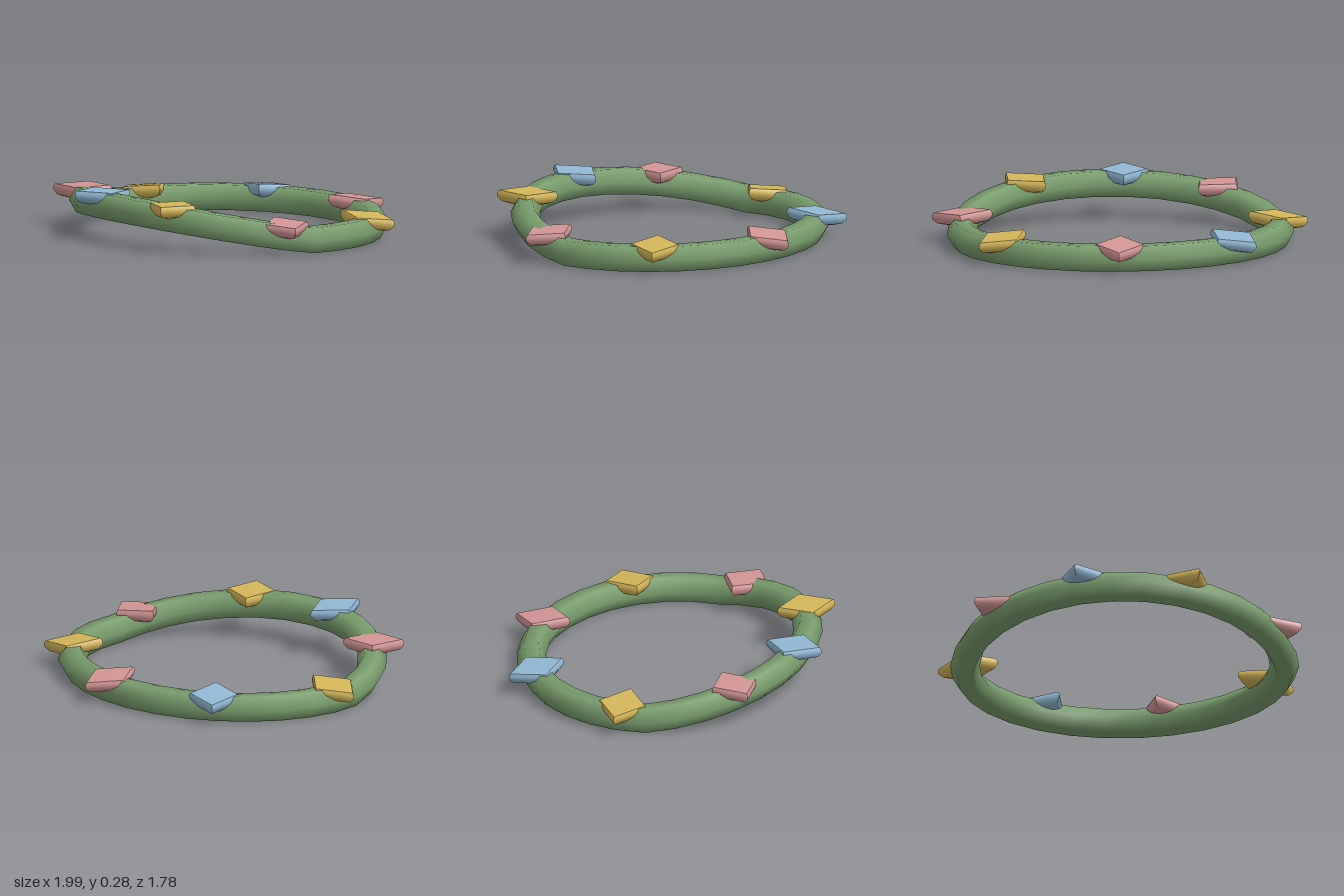
import * as THREE from 'three';
import { mergeVertices, toCreasedNormals } from 'three/addons/utils/BufferGeometryUtils.js';

const CX = 0.012, RX = 0.86, RZ = 0.737, TUBE = 0.079, ARC = 30, SIDES = 6;

// height of the ring's centre line: flat at the back, rising to the front
function ringHeight(z) {
  const s = Math.max(0, (z - 0.08) / (RZ - 0.08));
  return 0.069 + 0.127 * Math.pow(s, 1.1);
}

// six-sided tube bent along an oval
function ringGeometry() {
  const geo = new THREE.TorusGeometry(1, 0.1, SIDES, ARC);
  const pos = geo.attributes.position;
  for (let j = 0, k = 0; j <= SIDES; j++) {
    const v = (j / SIDES) * Math.PI * 2;
    for (let i = 0; i <= ARC; i++, k++) {
      const a = -((i % ARC) + 0.5) / ARC * Math.PI * 2;
      const c = Math.cos(a), s = Math.sin(a);
      const n = new THREE.Vector2(c / RX, s / RZ).normalize().multiplyScalar(TUBE * Math.cos(v));
      pos.setXYZ(k, CX + RX * c + n.x, ringHeight(RZ * s) + TUBE * Math.sin(v), RZ * s + n.y);
    }
  }
  geo.deleteAttribute('uv');
  geo.deleteAttribute('normal');
  const welded = mergeVertices(geo, 1e-5);
  welded.computeVertexNormals();
  return welded;
}

// four-sided blossom: flat top, rounded rim, tapered underside
function blossomGeometry() {
  const profile = [[0, -0.037], [0.55, -0.037], [0.85, -0.025], [1, 0], [1, 0.018], [0.94, 0.034], [0, 0.036]]
    .map(([r, y]) => new THREE.Vector2(r, y));
  const geo = new THREE.LatheGeometry(profile, 4);
  geo.scale(0.163, 1, 0.135);
  return toCreasedNormals(geo, 0.9);
}

export function createModel() {
  const group = new THREE.Group();
  const paint = (color) => new THREE.MeshStandardMaterial({ color });

  const ring = new THREE.Mesh(ringGeometry(), paint(0x7a9e6e));
  ring.name = 'wreathRing';
  group.add(ring);

  // blossoms, each with a corner pointing outwards
  const pink = paint(0xd49696), yellow = paint(0xd4b65a), blue = paint(0x92b8d4);
  const blossom = blossomGeometry();
  const spots = [
    [0.835, 0.225, pink], [0.405, 0.66, yellow], [-0.145, 0.725, blue], [-0.62, 0.51, pink],
    [-0.838, -0.055, yellow], [-0.485, -0.615, blue], [0.16, -0.735, pink], [0.735, -0.395, yellow],
  ];
  spots.forEach(([x, z, material], i) => {
    const mesh = new THREE.Mesh(blossom, material);
    mesh.name = `blossom${i + 1}`;
    mesh.position.set(x, ringHeight(z) + 0.043, z);
    // lean outwards, less towards the raised front
    const lean = 0.12 - 0.16 * Math.max(0, z / RZ);
    mesh.rotation.set(0, -Math.atan2(z, x), -lean, 'YXZ');
    group.add(mesh);
  });
  return group;
}
